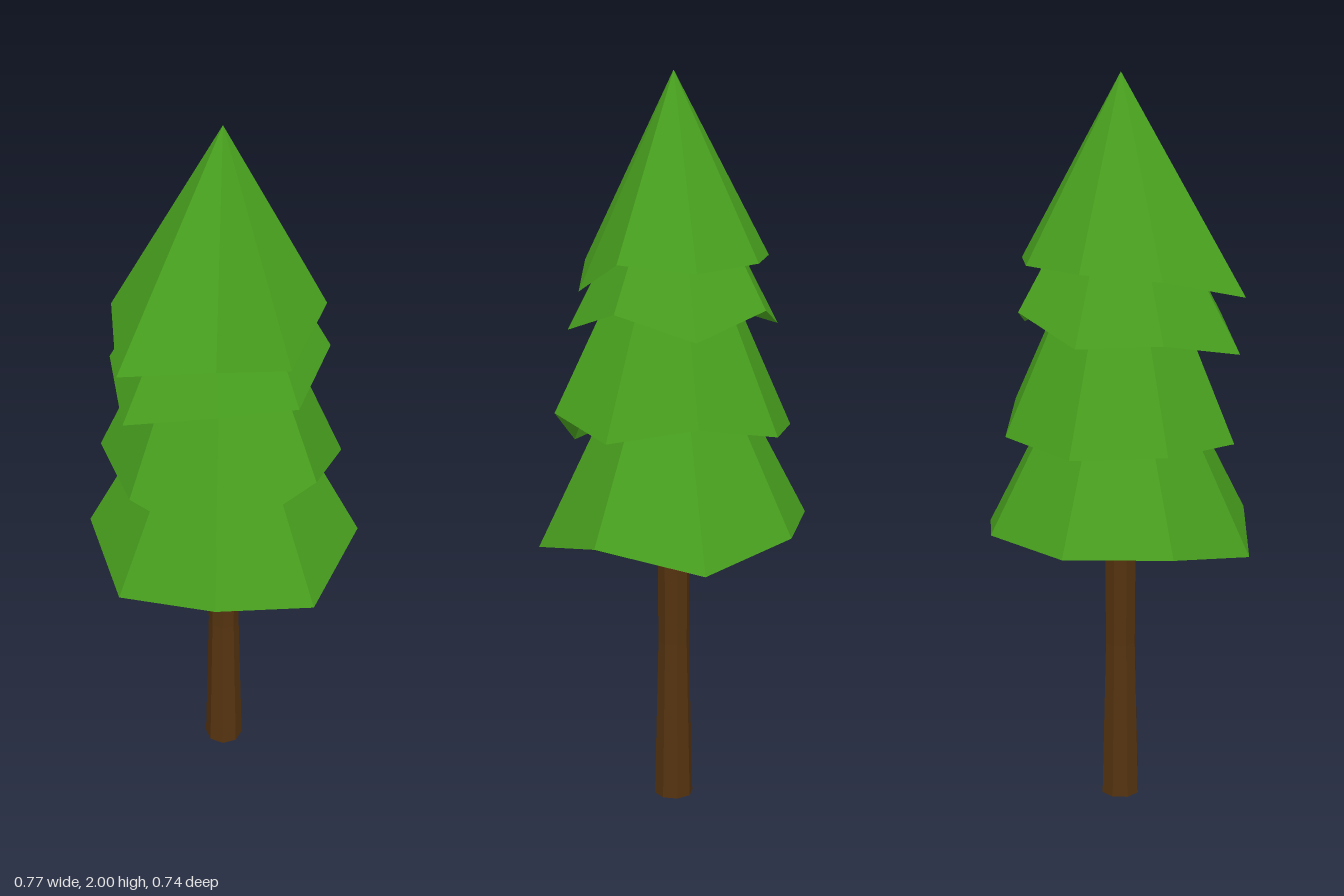
import * as THREE from 'three';

const AXIS_X = -0.015;

const leafMaterial = new THREE.MeshStandardMaterial({ color: 0x48a01e, flatShading: true, side: THREE.DoubleSide });
const barkMaterial = new THREE.MeshStandardMaterial({ color: 0x55330f, flatShading: true });

// Each tier: apex height, then rim radius and rim height at eight corners,
// counted from the front (+z) round through the left (+x)
const TIERS = [
  { name: 'topTier', apex: 2,
    radius: [0.255, 0.262, 0.29, 0.262, 0.26, 0.285, 0.35, 0.29],
    height: [1.43, 1.52, 1.505, 1.515, 1.515, 1.5, 1.44, 1.49] },
  { name: 'upperTier', apex: 1.88,
    radius: [0.285, 0.275, 0.284, 0.285, 0.287, 0.295, 0.337, 0.29],
    height: [1.33, 1.395, 1.33, 1.395, 1.33, 1.34, 1.29, 1.357] },
  { name: 'middleTier', apex: 1.78,
    radius: [0.327, 0.315, 0.315, 0.325, 0.326, 0.33, 0.325, 0.333],
    height: [1.113, 1.066, 1.113, 1.066, 1.05, 1.06, 1.05, 0.98],
    frontShift: 0.028 },
  { name: 'bottomTier', apex: 1.5,
    radius: [0.37, 0.37, 0.4, 0.37, 0.372, 0.37, 0.373, 0.37],
    height: [0.738, 0.8, 0.752, 0.8, 0.8, 0.8, 0.745, 0.8],
    frontShift: -0.008 },
];

// Hollow cone with an uneven rim
function makeTier({ name, apex, radius, height, frontShift = 0 }) {
  const n = radius.length;
  const rim = radius.map((r, i) => {
    const a = (i / n) * Math.PI * 2;
    return [Math.sin(a) * r + (i === 0 ? frontShift : 0), height[i], Math.cos(a) * r];
  });
  const positions = [];
  for (let i = 0; i < n; i++) {
    positions.push(0, apex, 0, ...rim[i], ...rim[(i + 1) % n]);
  }
  const geometry = new THREE.BufferGeometry();
  geometry.setAttribute('position', new THREE.Float32BufferAttribute(positions, 3));
  geometry.computeVertexNormals();
  const mesh = new THREE.Mesh(geometry, leafMaterial);
  mesh.name = name;
  mesh.position.x = AXIS_X;
  return mesh;
}

export function createModel() {
  const tree = new THREE.Group();
  tree.name = 'pineTree';

  // Trunk: flared foot, slightly waisted, running up inside the foliage
  const profile = [[0, 0], [0.054, 0], [0.043, 0.45], [0.045, 0.75], [0.045, 1]]
    .map(([r, y]) => new THREE.Vector2(r, y));
  const trunk = new THREE.Mesh(new THREE.LatheGeometry(profile, 8), barkMaterial);
  trunk.name = 'trunk';
  trunk.position.x = AXIS_X;
  tree.add(trunk);

  // Foliage
  const foliage = new THREE.Group();
  foliage.name = 'foliage';
  for (const tier of TIERS) foliage.add(makeTier(tier));
  tree.add(foliage);

  return tree;
}
